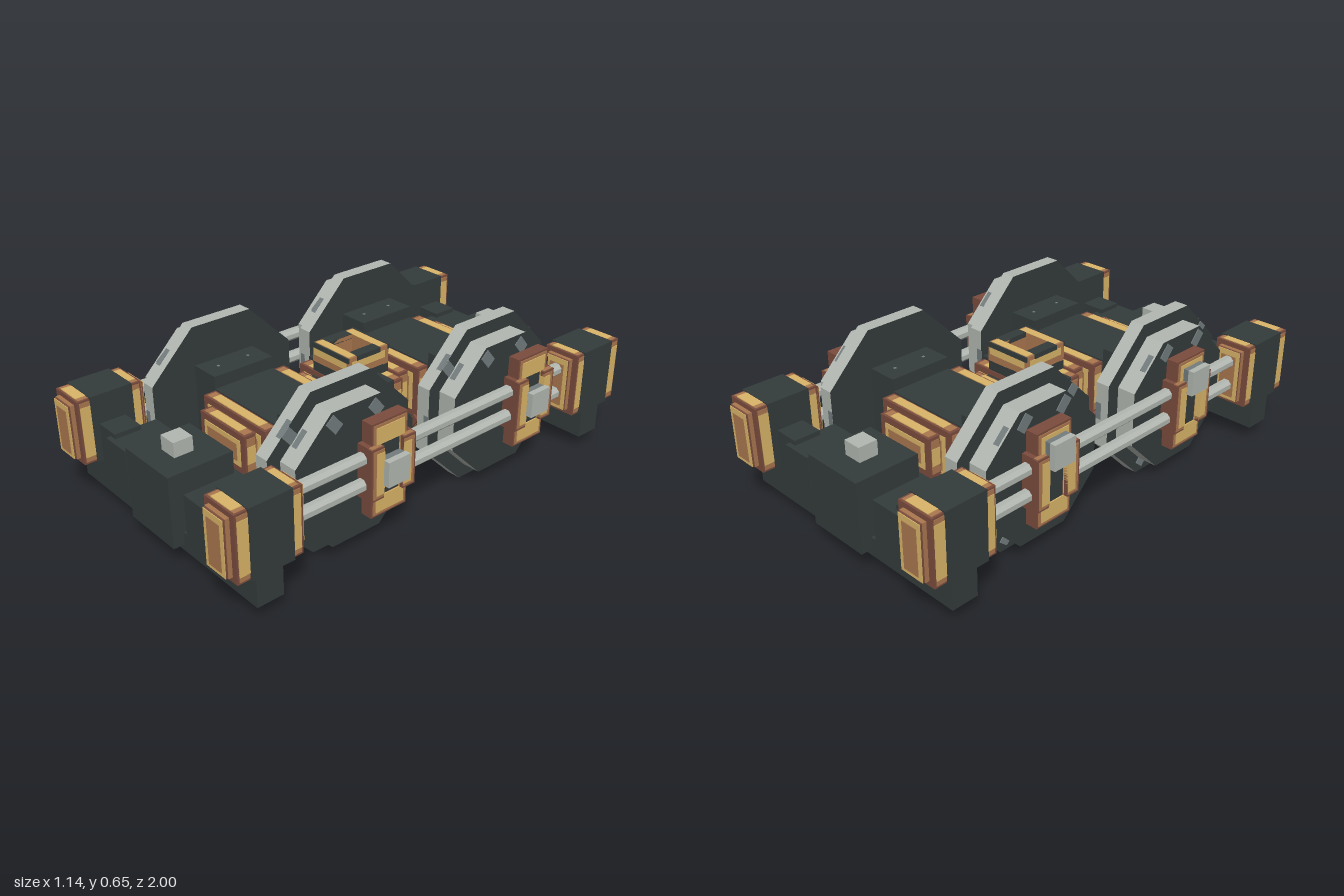
import * as THREE from 'three';

const paint = (name, color) => {
  const m = new THREE.MeshStandardMaterial({ color, flatShading: true });
  m.name = name;
  return m;
};

export function createModel() {
  const dark = paint('dark iron', 0x343b3b);
  const grey = paint('light steel', 0xb2b8b1);
  const steel = paint('worn steel', 0x737c7d);
  const gold = paint('brass', 0xdab568);
  const copper = paint('copper', 0xab7850);
  const rust = paint('dark copper', 0x7b4c3d);

  const root = new THREE.Group();
  root.name = 'wheelTruck';

  const group = (name, parent = root) => {
    const g = new THREE.Group();
    g.name = name;
    parent.add(g);
    return g;
  };

  // Box given by its limits; each pair may come in either order
  const box = (parent, name, mat, x0, x1, y0, y1, z0, z1) => {
    const geo = new THREE.BoxGeometry(Math.abs(x1 - x0), Math.abs(y1 - y0), Math.abs(z1 - z0));
    const mesh = new THREE.Mesh(geo, mat);
    mesh.position.set((x0 + x1) / 2, (y0 + y1) / 2, (z0 + z1) / 2);
    mesh.name = name;
    parent.add(mesh);
    return mesh;
  };

  // Octagonal prism lying on the x axis, flat side up
  const octagon = (apothem, width) => {
    const r = apothem / Math.cos(Math.PI / 8);
    return new THREE.CylinderGeometry(r, r, width, 8, 1, false, Math.PI / 8).rotateZ(Math.PI / 2);
  };
  const disc = (parent, name, apothem, width, x) => {
    const mesh = new THREE.Mesh(octagon(apothem, width), [grey, dark, dark]);
    mesh.position.x = x;
    mesh.name = name;
    parent.add(mesh);
  };

  // Wheels, with a wide inner flange and worn patches on faces and rims
  for (const s of [1, -1]) for (const z of [0.38, -0.38]) {
    const wheel = group('wheel');
    wheel.position.set(0, 0.325, z);
    disc(wheel, 'flange', 0.325, 0.06, s * 0.35);
    disc(wheel, 'tread', 0.27, 0.08, s * 0.42);
    for (const [px, py, pz] of [[0.46, 0.222, 0.10], [0.46, 0.222, -0.09], [0.38, 0.19, 0.225], [0.38, -0.27, -0.1]]) {
      const patch = box(wheel, 'wornPatch', steel, -0.003, 0.003, -0.032, 0.032, -0.022, 0.022);
      patch.position.set(s * px, py, pz);
      patch.rotation.x = 0.7;
    }
    for (const [turn, apothem, x] of [[1, 0.27, 0.40], [-1, 0.27, 0.44], [1, 0.325, 0.367], [2, 0.325, 0.367], [-2, 0.325, 0.333]]) {
      const facet = group('rimWear', wheel);
      facet.rotation.x = turn * Math.PI / 4;
      box(facet, 'rimPatch', steel, s * (x - 0.012), s * (x + 0.012), apothem - 0.003, apothem + 0.001, -0.02, 0.05);
    }
  }

  // Copper winding: dark edges, copper border, brass centre strip, framed end faces
  const winding = (parent, name, w, y0, y1, zIn, zOut) => {
    const g = group(name, parent);
    box(g, name + 'Core', rust, -w, w, y0, y1, -zOut, zOut);
    for (const s of [1, -1]) {
      const a = s * (zIn + 0.008), b = s * (zOut - 0.009);
      box(g, 'copperStrip', copper, -w + 0.012, w - 0.012, y0 - 0.002, y1 + 0.002, a, b);
      box(g, 'brassStrip', gold, -w + 0.045, w - 0.045, y0 - 0.004, y1 + 0.004, a, b);
      box(g, 'copperSideStrip', copper, -w - 0.002, w + 0.002, y0 + 0.012, y1 - 0.012, a, b);
      box(g, 'brassSideStrip', gold, -w - 0.004, w + 0.004, y0 + 0.045, y1 - 0.045, a, b);
      box(g, 'brassFace', gold, -w + 0.026, w - 0.026, y0 + 0.026, y1 - 0.026, s * zOut, s * (zOut + 0.003));
      box(g, 'copperFace', copper, -w + 0.045, w - 0.045, y0 + 0.045, y1 - 0.045, s * zOut, s * (zOut + 0.005));
    }
  };

  // Axle motors, lower in the middle than at the housings
  for (const zc of [0.376, -0.376]) {
    const motor = group('axleMotor');
    motor.position.z = zc;
    for (const s of [1, -1]) {
      box(motor, 'axleHousing', dark, s * 0.19, s * 0.322, 0.16, 0.49, -0.136, 0.136);
      for (const z of [-0.07, 0.07])
        box(motor, 'housingBolt', steel, s * 0.254, s * 0.264, 0.488, 0.492, z - 0.005, z + 0.005);
    }
    box(motor, 'motorBody', dark, -0.194, 0.194, 0.214, 0.44, -0.136, 0.136);
    winding(motor, 'windingBand', 0.188, 0.22, 0.434, 0.136, 0.19);
    winding(motor, 'windingCap', 0.135, 0.25, 0.41, 0.19, 0.243);
    // Slanted cradle struts down to the spine
    for (const s of [1, -1]) for (const z of [-0.165, 0.165]) {
      const strut = group('cradleStrut', motor);
      box(strut, 'strutBar', rust, -0.016, 0.016, -0.055, 0.055, -0.035, 0.035);
      box(strut, 'strutPanel', copper, -0.018, 0.018, -0.045, 0.045, -0.025, 0.025);
      strut.position.set(s * 0.16, 0.178, z);
      strut.rotation.z = -s * 0.62;
    }
  }

  // Spine under the motors
  const spine = group('spine');
  box(spine, 'spineBeam', dark, -0.132, 0.132, 0.088, 0.138, -0.62, 0.62);
  box(spine, 'spineBlock', dark, -0.12, 0.12, 0.13, 0.225, -0.1, 0.1);
  for (const z of [-0.58, -0.19, 0.19, 0.58]) {
    box(spine, 'spineBand', rust, -0.137, 0.137, 0.085, 0.142, z - 0.035, z + 0.035);
    box(spine, 'spineBandPanel', copper, -0.139, 0.139, 0.083, 0.144, z - 0.02, z + 0.02);
  }

  // Centre pivot with a hollow square socket on top
  const pivot = group('centrePivot');
  box(pivot, 'driveShaft', dark, -0.1, 0.1, 0.25, 0.40, -0.2, 0.2);
  winding(pivot, 'pivotBase', 0.183, 0.235, 0.42, 0.05, 0.108);
  box(pivot, 'pivotSaddle', dark, -0.19, 0.19, 0.225, 0.432, -0.055, 0.055);
  box(pivot, 'pivotFoot', dark, -0.104, 0.104, 0.42, 0.462, -0.104, 0.104);
  for (const s of [1, -1]) {
    box(pivot, 'socketWall', copper, -0.104, 0.104, 0.46, 0.538, s * 0.06, s * 0.104);
    box(pivot, 'socketWall', copper, s * 0.06, s * 0.104, 0.46, 0.538, -0.06, 0.06);
    box(pivot, 'socketBrass', gold, -0.095, 0.095, 0.49, 0.52, s * 0.104, s * 0.106);
    box(pivot, 'socketBrass', gold, s * 0.104, s * 0.106, 0.49, 0.52, -0.085, 0.085);
    box(pivot, 'socketLip', dark, -0.106, 0.106, 0.52, 0.54, s * 0.1, s * 0.107);
    box(pivot, 'socketLip', dark, s * 0.06, s * 0.107, 0.52, 0.54, -0.06, 0.06);
    box(pivot, 'socketTop', gold, -0.095, 0.095, 0.538, 0.54, s * 0.06, s * 0.095);
  }

  // End beams with coupler box, brackets and buffers
  for (const dir of [1, -1]) {
    const end = group(dir > 0 ? 'frontEnd' : 'rearEnd');
    end.rotation.y = dir > 0 ? 0 : Math.PI;
    box(end, 'endBeam', dark, -0.555, 0.555, 0.058, 0.136, 0.785, 0.895);
    box(end, 'couplerBox', dark, -0.135, 0.135, 0.085, 0.375, 0.67, 0.94);
    box(end, 'couplerPin', grey, -0.04, 0.04, 0.375, 0.435, 0.77, 0.85);
    for (const s of [1, -1]) {
      box(end, 'beamRiser', dark, s * 0.29, s * 0.555, 0.13, 0.344, 0.785, 0.895);
      box(end, 'beamBracket', dark, s * 0.188, s * 0.322, 0.11, 0.325, 0.70, 0.915);
      const buffer = group('buffer', end);
      box(buffer, 'bufferBand', rust, s * 0.405, s * 0.563, 0.192, 0.457, 0.705, 0.972);
      box(buffer, 'bufferTopCopper', copper, s * 0.413, s * 0.555, 0.19, 0.459, 0.713, 0.964);
      box(buffer, 'bufferTopBrass', gold, s * 0.43, s * 0.538, 0.188, 0.461, 0.713, 0.964);
      box(buffer, 'bufferSideCopper', copper, s * 0.403, s * 0.565, 0.2, 0.449, 0.713, 0.964);
      box(buffer, 'bufferSideBrass', gold, s * 0.402, s * 0.567, 0.22, 0.43, 0.713, 0.964);
      box(buffer, 'bufferSleeve', dark, s * 0.4, s * 0.569, 0.186, 0.463, 0.745, 0.922);
      box(buffer, 'bufferCap', rust, s * 0.432, s * 0.537, 0.215, 0.436, 0.682, 0.995);
      box(buffer, 'bufferCapSide', copper, s * 0.43, s * 0.539, 0.213, 0.438, 0.688, 0.988);
      box(buffer, 'bufferFace', gold, s * 0.433, s * 0.536, 0.216, 0.435, 0.679, 0.998);
      box(buffer, 'bufferPanel', copper, s * 0.45, s * 0.519, 0.23, 0.412, 0.677, 1.0);
    }
  }

  // Yoke frame outline in z and y, with a square slot
  const yokeShape = (inset) => {
    const a = 0.085 - inset, b = 0.105 - inset, h = 0.19 - inset, k = 0.108 - inset;
    const shape = new THREE.Shape([
      [-a, -h], [a, -h], [a, -k], [b, -k], [b, k], [a, k],
      [a, h], [-a, h], [-a, k], [-b, k], [-b, -k], [-a, -k],
    ].map(([u, v]) => new THREE.Vector2(u, v)));
    shape.holes.push(new THREE.Path([[-0.045, -0.105], [-0.045, 0.105], [0.045, 0.105], [0.045, -0.105]]
      .map(([u, v]) => new THREE.Vector2(u, v))));
    return shape;
  };

  // Side rods and slotted yokes; the two sides are a quarter turn apart
  const rodGeometry = octagon(0.024, 1.38).rotateY(Math.PI / 2);
  for (const s of [1, -1]) {
    const drive = group(s > 0 ? 'leftDrive' : 'rightDrive');
    for (const y of [0.386, 0.28]) {
      const rod = new THREE.Mesh(rodGeometry, grey);
      rod.position.set(s * 0.486, y, 0);
      rod.name = 'sideRod';
      drive.add(rod);
    }
    for (const wheelZ of [0.38, -0.38]) {
      const yoke = group('yoke', drive);
      yoke.position.set(0, 0.33, wheelZ - (s > 0 ? 0.108 : 0));
      const pinY = s > 0 ? 0 : 0.105;
      for (const [name, mat, inset, reach] of [['yokeFrame', rust, 0, 0.512], ['yokeCopper', copper, 0.008, 0.515], ['yokeBrass', gold, 0.019, 0.518]]) {
        const geo = new THREE.ExtrudeGeometry(yokeShape(inset), { depth: reach - 0.462, bevelEnabled: false });
        const mesh = new THREE.Mesh(geo, mat);
        mesh.rotation.y = s * Math.PI / 2;
        mesh.position.x = s * 0.462;
        mesh.name = name;
        yoke.add(mesh);
      }
      for (const e of [1, -1]) {
        box(yoke, 'yokeCheek', rust, s * 0.462, s * 0.535, -0.105, 0.105, e * 0.046, e * 0.105);
        box(yoke, 'cheekCopper', copper, s * 0.462, s * 0.537, -0.097, 0.097, e * 0.046, e * 0.097);
        box(yoke, 'cheekBrass', gold, s * 0.462, s * 0.539, -0.085, 0.085, e * 0.046, e * 0.083);
        box(yoke, 'cheekTop', copper, s * 0.47, s * 0.53, -0.107, 0.107, e * 0.052, e * 0.099);
      }
      box(yoke, 'slotBack', dark, s * 0.47, s * 0.513, -0.105, 0.105, -0.045, 0.045);
      box(yoke, 'crankPin', steel, s * 0.45, s * 0.562, pinY - 0.05, pinY + 0.05, -0.05, 0.05);
      box(yoke, 'crankPinFace', grey, s * 0.54, s * 0.565, pinY - 0.051, pinY + 0.051, -0.051, 0.051);
    }
  }

  return root;
}
